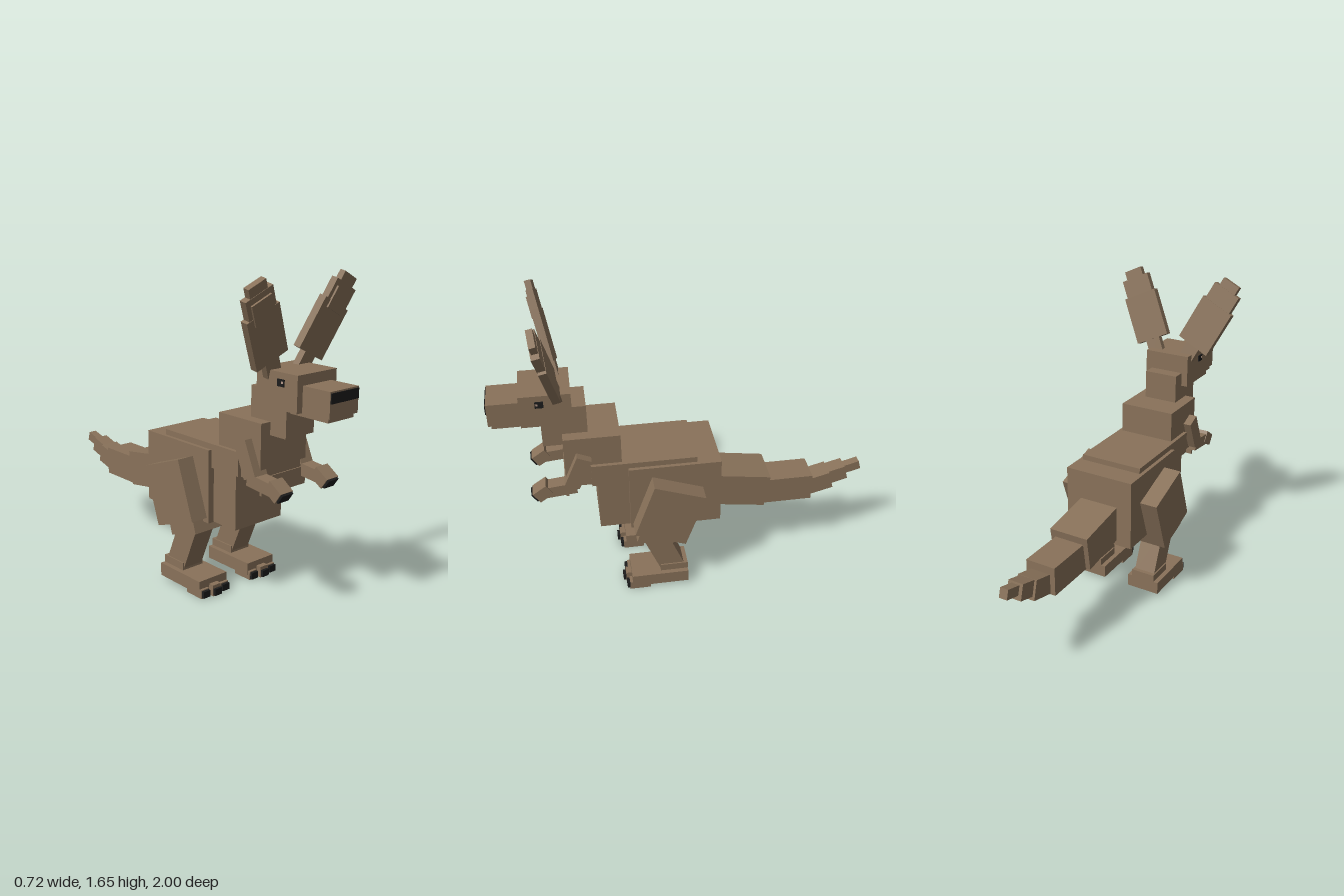
import * as THREE from 'three';

export function createModel() {
  const root = new THREE.Group();
  const fur = new THREE.MeshStandardMaterial({ color: 0x89725a });
  fur.name = 'brownFur';
  const dark = new THREE.MeshStandardMaterial({ color: 0x1c1c1c });
  dark.name = 'blackClaw';
  const shine = new THREE.MeshStandardMaterial({ color: 0xb89a8a });
  shine.name = 'eyeShine';

  // box by size and centre, pitched about x
  function box(parent, name, [w, h, d], [x, y, z], pitch = 0, material = fur) {
    const mesh = new THREE.Mesh(new THREE.BoxGeometry(w, h, d), material);
    mesh.name = name;
    mesh.position.set(x, y, z);
    mesh.rotation.x = pitch;
    parent.add(mesh);
    return mesh;
  }
  // centred box given by half width, y range and z range
  function span(name, halfW, y0, y1, z0, z1, material = fur) {
    return box(root, name, [halfW * 2, y1 - y0, z1 - z0], [0, (y0 + y1) / 2, (z0 + z1) / 2], 0, material);
  }

  // torso
  span('rump', 0.195, 0.386, 0.77, -0.165, 0.32);
  span('belly', 0.16, 0.388, 0.675, 0.25, 0.48);
  span('back', 0.175, 0.677, 0.80, -0.04, 0.51);
  span('chest', 0.155, 0.675, 0.965, 0.35, 0.64);
  span('chestFur', 0.15, 0.61, 0.70, 0.632, 0.646);

  // neck and head
  span('neck', 0.095, 0.90, 1.12, 0.51, 0.74);
  span('head', 0.13, 1.045, 1.22, 0.58, 0.835);
  span('snout', 0.095, 1.047, 1.17, 0.80, 0.995);
  span('jaw', 0.085, 1.025, 1.06, 0.755, 0.98);
  span('nose', 0.092, 1.115, 1.163, 0.992, 1.0, dark);

  // tail, thick to thin: size, centre, pitch
  [
    [[0.22, 0.192, 0.34], [0, 0.497, -0.275], -0.15],
    [[0.166, 0.155, 0.29], [0, 0.448, -0.56], 0],
    [[0.11, 0.105, 0.16], [0, 0.44, -0.748], 0.26],
    [[0.084, 0.085, 0.12], [0, 0.478, -0.855], 0.28],
    [[0.046, 0.052, 0.09], [0, 0.512, -0.952], 0.27],
  ].forEach(([size, pos, pitch], i) => box(root, 'tailSegment' + (i + 1), size, pos, pitch));

  for (const s of [1, -1]) {
    const side = s > 0 ? 'left' : 'right';

    // eye
    box(root, side + 'Eye', [0.008, 0.034, 0.042], [s * 0.132, 1.172, 0.736], 0, dark);
    box(root, side + 'EyeShine', [0.004, 0.01, 0.01], [s * 0.136, 1.175, 0.748], 0, shine);

    // ear, splayed outwards and leaning forwards
    const ear = new THREE.Group();
    ear.name = side + 'Ear';
    ear.position.set(s * 0.075, 1.16, 0.635);
    ear.rotation.set(0.21, 0, -s * 0.45);
    root.add(ear);
    box(ear, 'earStem', [0.085, 0.16, 0.035], [0, 0.07, 0]);
    box(ear, 'earBlade', [0.198, 0.265, 0.04], [0, 0.253, 0]);
    box(ear, 'earUpper', [0.165, 0.12, 0.036], [0, 0.425, 0]);
    box(ear, 'earTip', [0.105, 0.07, 0.032], [0, 0.497, 0]);
    box(ear, 'innerEar', [0.12, 0.11, 0.012], [0, 0.40, 0.022]);

    // arm with clawed hand
    const arm = new THREE.Group();
    arm.name = side + 'Arm';
    arm.position.x = s * 0.158;
    root.add(arm);
    box(arm, 'upperArm', [0.082, 0.18, 0.08], [0, 0.783, 0.577], -0.41);
    box(arm, 'forearm', [0.075, 0.063, 0.17], [0, 0.683, 0.675], 0.1);
    box(arm, 'hand', [0.082, 0.065, 0.085], [0, 0.674, 0.762], 0.6);
    box(arm, 'handClaw', [0.07, 0.052, 0.016], [0, 0.652, 0.802], 0.6, dark);

    // leg
    const leg = new THREE.Group();
    leg.name = side + 'Leg';
    leg.position.x = s * 0.17;
    root.add(leg);
    box(leg, 'thigh', [0.245, 0.319, 0.285], [0, 0.515, 0.12], -0.346);
    box(leg, 'knee', [0.18, 0.12, 0.195], [0, 0.365, 0.186], -0.3);
    box(leg, 'shin', [0.12, 0.28, 0.129], [0, 0.215, 0.147], 0.39);
    box(leg, 'heel', [0.135, 0.08, 0.15], [0, 0.09, 0.095]);
    box(leg, 'foot', [0.187, 0.07, 0.31], [0, 0.055, 0.175]);

    // toes and claws, the middle one longest
    for (const t of [-1, 0, 1]) {
      const reach = t === 0 ? 0.36 : 0.345;
      const h = t === 0 ? 0.06 : 0.047;
      box(leg, 'toe', [0.052, h, reach - 0.23], [t * 0.066, h / 2, (reach + 0.23) / 2]);
      box(leg, 'toeClaw', [0.044, 0.036, 0.025], [t * 0.066, 0.024, reach + 0.002], 0, dark);
    }
  }
  return root;
}
